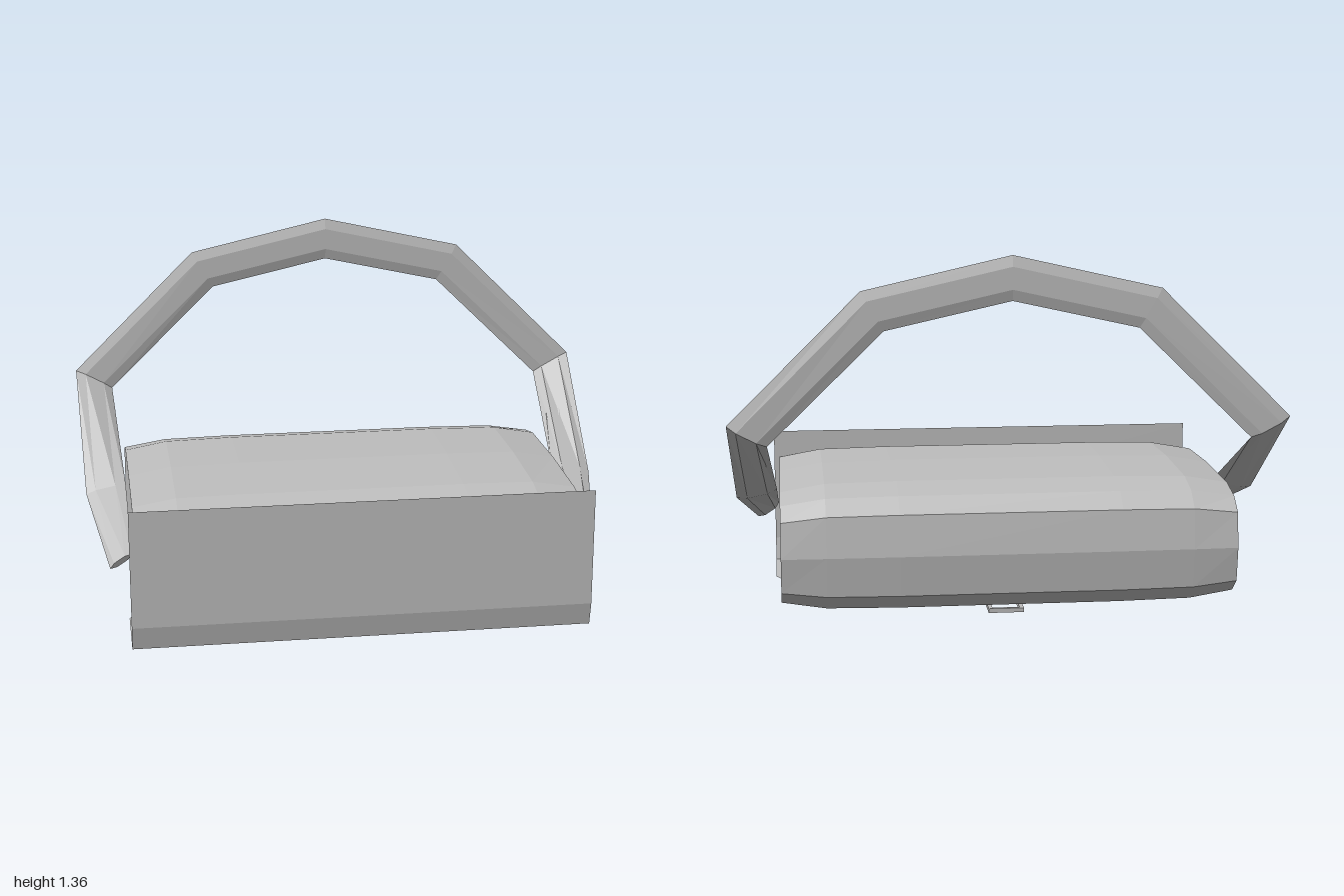
import * as THREE from 'three';

const grey = new THREE.MeshStandardMaterial({ color: 0xbebebe, side: THREE.DoubleSide });
grey.name = 'plain grey';

// Joins a list of closed cross-sections into a faceted, capped solid.
function loft(rings) {
  const pos = [];
  const tri = (...pts) => pts.forEach((p) => pos.push(p.x, p.y, p.z));
  const n = rings[0].length;
  for (let i = 0; i < rings.length - 1; i++) {
    for (let j = 0; j < n; j++) {
      const k = (j + 1) % n;
      const a = rings[i][j], b = rings[i][k], c = rings[i + 1][k], d = rings[i + 1][j];
      tri(a, b, d);
      tri(b, c, d);
    }
  }
  const first = rings[0], last = rings[rings.length - 1];
  for (let j = 1; j < n - 1; j++) {
    tri(first[0], first[j + 1], first[j]);
    tri(last[0], last[j], last[j + 1]);
  }
  const geo = new THREE.BufferGeometry();
  geo.setAttribute('position', new THREE.Float32BufferAttribute(pos, 3));
  geo.computeVertexNormals();
  return geo;
}

// Flat rectangular ring lying in the xz plane, its underside at y.
function frame(x0, x1, z0, z1, rim, y, height) {
  const rect = (C, m) => {
    const p = new C();
    p.moveTo(x0 + m, -z1 + m);
    p.lineTo(x1 - m, -z1 + m);
    p.lineTo(x1 - m, -z0 - m);
    p.lineTo(x0 + m, -z0 - m);
    p.closePath();
    return p;
  };
  const shape = rect(THREE.Shape, 0);
  shape.holes.push(rect(THREE.Path, rim));
  const geo = new THREE.ExtrudeGeometry(shape, { depth: height, bevelEnabled: false });
  geo.rotateX(-Math.PI / 2);
  geo.translate(0, y, 0);
  return geo;
}

export function createModel() {
  const group = new THREE.Group();
  const add = (name, geo) => {
    const mesh = new THREE.Mesh(geo, grey);
    mesh.name = name;
    group.add(mesh);
  };

  // Bag body: rounded outline [z, y], pinched at both ends
  const outline = [
    [0, 0.54], [0.33, 0.53], [0.45, 0.505], [0.515, 0.45], [0.537, 0.298], [0.515, 0.145],
    [0.45, 0.09], [0.33, 0.062], [0, 0.052], [-0.35, 0.062], [-0.465, 0.09], [-0.535, 0.15],
    [-0.553, 0.297], [-0.535, 0.445], [-0.47, 0.5], [-0.35, 0.53],
  ];
  const sections = [[-0.82, 0.86, 0.985], [-0.66, 0.98, 0.995], [-0.4, 1, 1],
    [0.4, 1, 1], [0.66, 0.98, 0.995], [0.82, 0.86, 0.985]];
  add('bagBody', loft(sections.map(([x, sy, sz]) =>
    outline.map(([z, y]) => new THREE.Vector3(x, 0.296 + (y - 0.296) * sy, z * sz)))));

  // Front flap: upright panel, slightly tucked-in lower strip, folded under the bag
  const flapRows = [[0.84, 0.56, 0.55], [0.84, 0.12, 0.55], [0.84, 0.033, 0.532],
    [0.84, 0.033, 0.25], [0.67, 0.033, -0.07]];
  const flapPos = [];
  for (let i = 0; i < flapRows.length - 1; i++) {
    const [x0, y0, z0] = flapRows[i], [x1, y1, z1] = flapRows[i + 1];
    flapPos.push(-x0, y0, z0, -x1, y1, z1, x1, y1, z1, -x0, y0, z0, x1, y1, z1, x0, y0, z0);
  }
  const flap = new THREE.BufferGeometry();
  flap.setAttribute('position', new THREE.Float32BufferAttribute(flapPos, 3));
  flap.computeVertexNormals();
  add('frontFlap', flap);

  // Carrying strap: outer and inner edge points of one half, mirrored over the top
  const half = [
    [[0.905, 0.262, 0.32], [0.825, 0.315, 0.32]],
    [[0.98, 0.42, -0.06], [0.83, 0.45, -0.06]],
    [[1.0, 0.775, -0.538], [0.86, 0.7, -0.533]],
    [[0.53, 1.24, -0.538], [0.45, 1.1, -0.538]],
    [[0, 1.36, -0.538], [0, 1.2, -0.538]],
  ];
  const mirrored = half.slice(0, -1).reverse().map((pair) => pair.map(([x, y, z]) => [-x, y, z]));
  const stations = [...half, ...mirrored].map((pair) => pair.map((p) => new THREE.Vector3(...p)));
  const mids = stations.map(([o, i]) => o.clone().add(i).multiplyScalar(0.5));
  const profile = [[1, 0], [0.5, 1], [-0.5, 1], [-1, 0], [-0.5, -1], [0.5, -1]];
  add('strap', loft(stations.map(([outer, inner], i) => {
    const along = mids[Math.min(i + 1, mids.length - 1)].clone().sub(mids[Math.max(i - 1, 0)]);
    const across = outer.clone().sub(inner).multiplyScalar(0.5);
    const thick = along.cross(across).normalize().multiplyScalar(0.011);
    return profile.map(([w, t]) =>
      mids[i].clone().addScaledVector(across, w).addScaledVector(thick, t));
  })));

  // Clasp under the bag
  add('claspLoop', frame(-0.065, 0.065, -0.36, -0.09, 0.015, 0.03, 0.016));
  add('claspPlate', frame(-0.09, 0.09, -0.13, 0.008, 0.02, 0.011, 0.018));
  add('claspCatch', frame(-0.055, 0.055, -0.105, -0.02, 0.014, 0, 0.02));
  return group;
}
